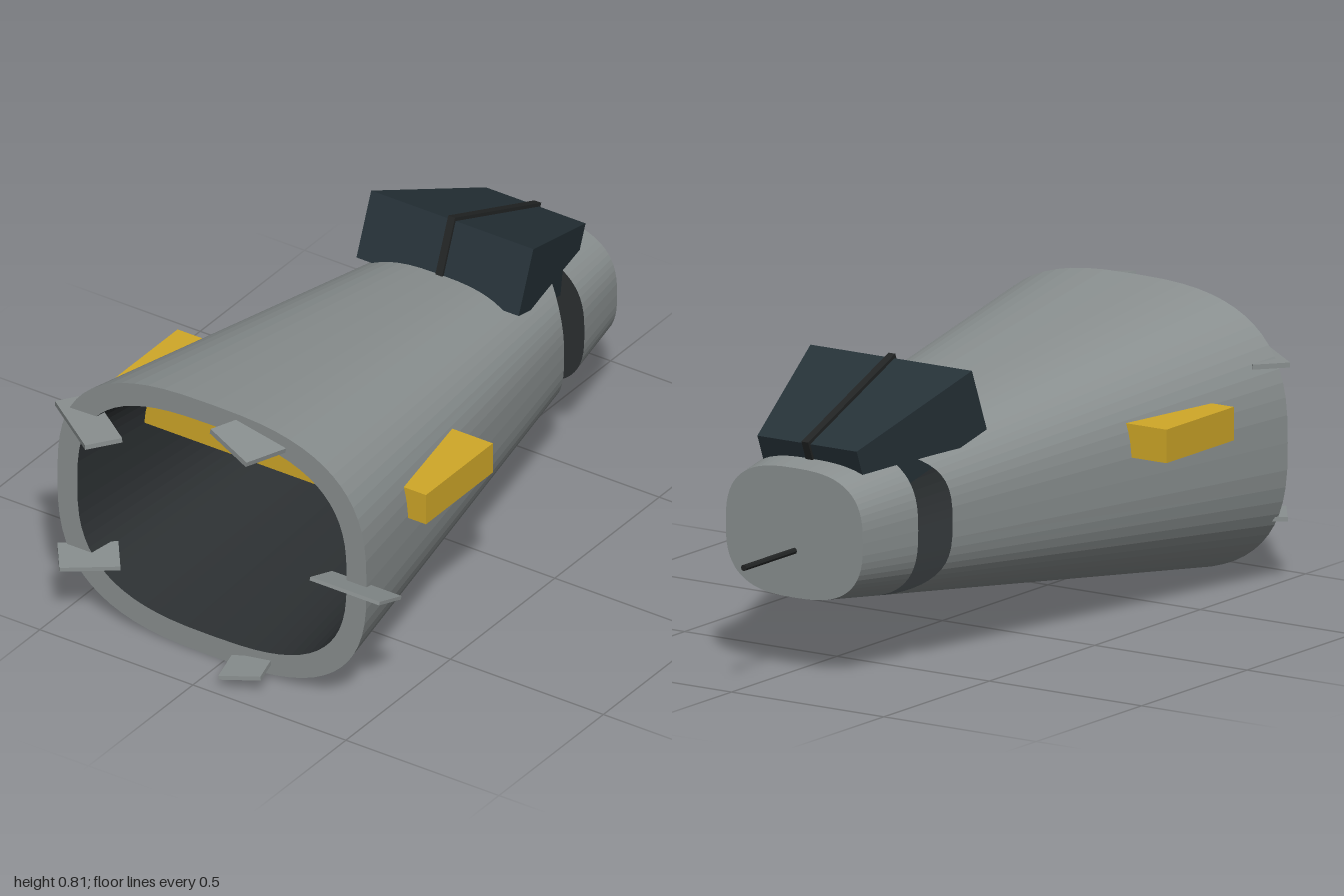
import * as THREE from 'three';

const SEGMENTS = 64;
const CX = -0.04, CY = 0.405;       // hull axis
const FRONT = 0.85, GAP = -0.55, BACK = -0.76;

const material = (color) => new THREE.MeshStandardMaterial({ color, flatShading: true });

// Unit rounded-rectangle (superellipse) point at step i
function unitPoint(i) {
  const t = ((i % SEGMENTS) / SEGMENTS) * Math.PI * 2;
  const p = (v) => Math.sign(v) * Math.pow(Math.abs(v), 2 / 2.8);
  return [p(Math.cos(t)), p(Math.sin(t))];
}

// Half width and half height of the tapering hull at z
function hullSize(z) {
  const t = (FRONT - z) / (FRONT - BACK);
  return [0.505 - 0.28 * t, 0.4 - 0.22 * t];
}

// Cross-section; zAt may vary with the height around the ring
function ring(zAt, size = hullSize) {
  return Array.from({ length: SEGMENTS + 1 }, (_, i) => {
    const [ux, uy] = unitPoint(i);
    const z = zAt(uy);
    const [a, b] = size(z);
    return [CX + a * ux, CY + b * uy, z];
  });
}

// Skin between two cross-sections
function skin(a, b) {
  const pos = [];
  for (let i = 0; i < SEGMENTS; i++) {
    pos.push(...a[i], ...b[i], ...a[i + 1], ...b[i], ...b[i + 1], ...a[i + 1]);
  }
  const g = new THREE.BufferGeometry();
  g.setAttribute('position', new THREE.Float32BufferAttribute(pos, 3));
  g.computeVertexNormals();
  return g;
}

// Flat plate closing a cross-section
function cap(section) {
  const points = section.slice(0, -1).map(([x, y]) => new THREE.Vector2(x, y));
  return new THREE.ShapeGeometry(new THREE.Shape(points)).translate(0, 0, section[0][2]);
}

export function createModel() {
  const model = new THREE.Group();
  const hullGrey = material(0x8a9090);
  const dark = material(0x2c3032);
  const glass = material(0x263238);
  const black = material(0x222424);
  const gold = material(0xd0a828);

  function add(name, geometry, mat, parent = model) {
    const mesh = new THREE.Mesh(geometry, mat);
    mesh.name = name;
    parent.add(mesh);
    return mesh;
  }

  // Hollow main hull, cut away at the sides toward the rear
  const mouth = ring(() => FRONT);
  const innerMouth = ring(() => FRONT, () => [0.44, 0.335]);
  const cut = ring((uy) => -0.42 + (GAP + 0.42) * uy ** 4);
  add('hullShell', skin(mouth, cut), hullGrey);
  add('hullLip', skin(innerMouth, mouth), hullGrey);
  add('hullInterior', skin(cut, innerMouth), dark);

  // Solid tail block
  const tailFront = ring(() => GAP), tailBack = ring(() => BACK);
  add('tailShell', skin(tailFront, tailBack), hullGrey);
  add('tailBulkhead', cap(tailFront), dark);
  const backCap = cap(tailBack);
  backCap.translate(-CX, 0, -BACK).rotateY(Math.PI).translate(CX, 0, BACK);
  add('tailBackPlate', backCap, hullGrey);

  // Tail rod
  add('tailRod', new THREE.CylinderGeometry(0.009, 0.009, 0.26, 8).rotateX(Math.PI / 2), black)
    .position.set(CX, 0.355, -0.87);

  // Cross bar through the hull
  add('crossBar', new THREE.BoxGeometry(1.03, 0.093, 0.32), gold)
    .position.set(CX, 0.513, 0.42);

  // Tilted cockpit, narrowing to the rear, with a central rib
  const cockpit = new THREE.Group();
  cockpit.name = 'cockpit';
  cockpit.position.set(CX, 0.632, -0.465);
  cockpit.rotation.x = -0.38;
  const canopy = new THREE.BoxGeometry(0.53, 0.19, 0.43);
  const p = canopy.attributes.position;
  for (let i = 0; i < p.count; i++) {
    if (p.getZ(i) < 0) p.setX(i, p.getX(i) * 0.615);
  }
  canopy.computeVertexNormals();
  add('canopy', canopy, glass, cockpit);
  add('canopyRib', new THREE.BoxGeometry(0.022, 0.21, 0.445), black, cockpit);
  model.add(cockpit);

  // Small plates round the mouth: size, position, pitch, yaw, roll
  const plates = [
    [[0.16, 0.015, 0.15], [0.108, 0.763, 0.886], 0, -0.3, -0.2],
    [[0.25, 0.014, 0.106], [-0.426, 0.628, 0.875], 0, -0.64, 0.03],
    [[0.165, 0.012, 0.13], [-0.434, 0.19, 0.862], 0, 0.64, 0],
    [[0.227, 0.01, 0.11], [0.445, 0.404, 0.873], -0.32, 0, 0],
    [[0.12, 0.012, 0.12], [0.106, 0.045, 0.9], 0, 0.3, 0.16],
  ];
  for (const [size, position, pitch, yaw, roll] of plates) {
    const plate = add('mouthPlate', new THREE.BoxGeometry(...size), hullGrey);
    plate.position.set(...position);
    plate.rotation.set(pitch, yaw, roll, 'ZYX');
  }
  return model;
}
